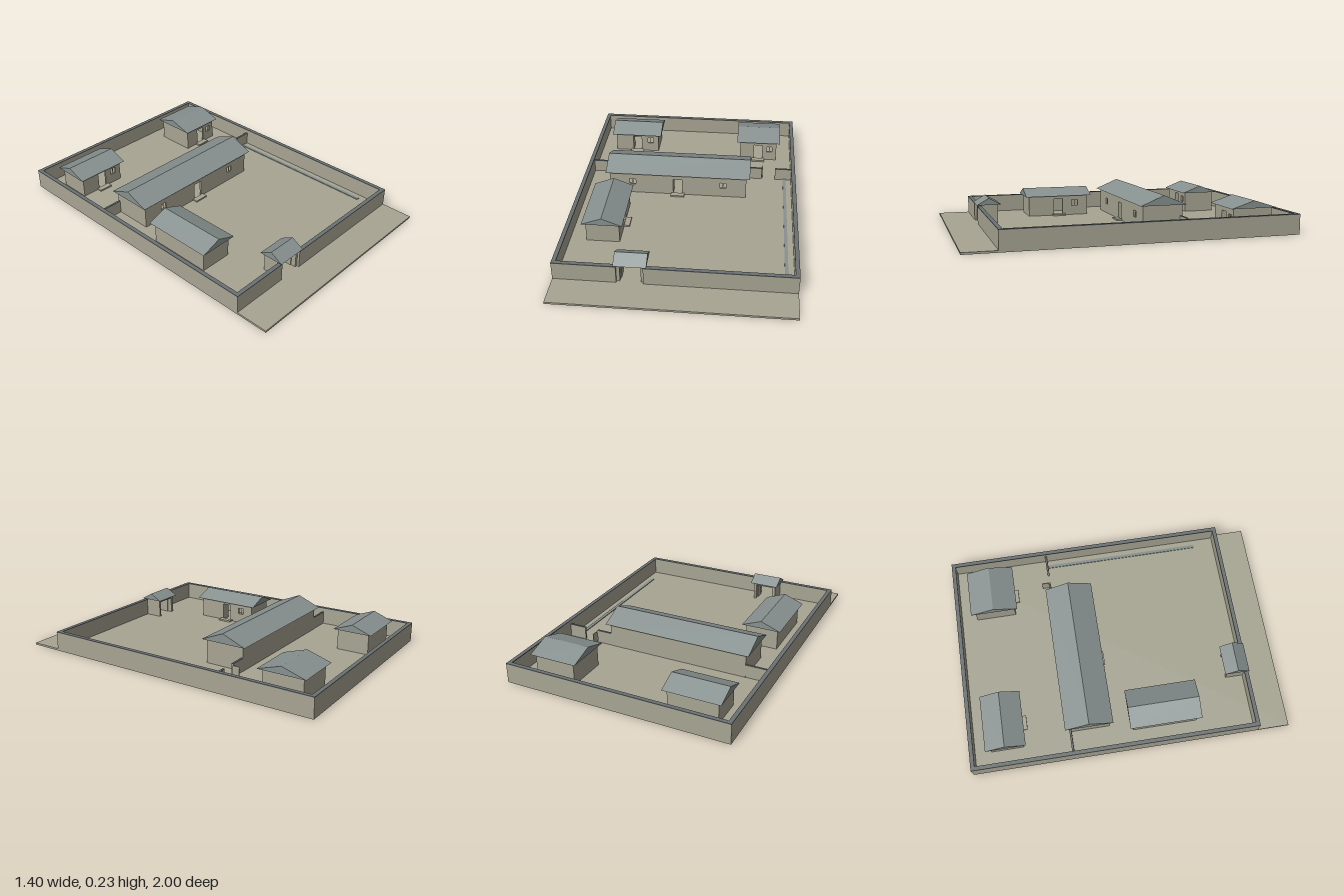
import * as THREE from 'three';

const stone = new THREE.MeshStandardMaterial({ color: 0xa8a593 });
stone.name = 'warm stone';
const tile = new THREE.MeshStandardMaterial({ color: 0x87918f });
tile.name = 'grey roof tile';
const cap = new THREE.MeshStandardMaterial({ color: 0x6b7273 });
cap.name = 'dark wall coping';

const FLOOR = 0.012;

// Box given by its minimum and maximum corners
function block(parent, name, mat, x0, x1, y0, y1, z0, z1) {
  const mesh = new THREE.Mesh(new THREE.BoxGeometry(x1 - x0, y1 - y0, z1 - z0), mat);
  mesh.position.set((x0 + x1) / 2, (y0 + y1) / 2, (z0 + z1) / 2);
  mesh.name = name;
  parent.add(mesh);
  return mesh;
}

// Solid gabled roof with its ridge along x
function gable(parent, w, d, y, rise) {
  const s = new THREE.Shape();
  s.moveTo(-d / 2, 0);
  s.lineTo(d / 2, 0);
  s.lineTo(0, rise);
  s.closePath();
  const geo = new THREE.ExtrudeGeometry(s, { depth: w, bevelEnabled: false });
  geo.translate(0, 0, -w / 2);
  geo.rotateY(Math.PI / 2);
  const mesh = new THREE.Mesh(geo, tile);
  mesh.position.y = y;
  mesh.name = 'roof';
  parent.add(mesh);
}

// House whose door faces local +z; w and d are the roof's size
function house(name, x, z, w, d, eave, rise, windows, turn = 0) {
  const g = new THREE.Group();
  g.name = name;
  const hw = w / 2 - 0.0225, hd = d / 2 - 0.0225, t = 0.012, door = 0.03, doorTop = 0.125;

  // Front wall with a door notch and window holes
  const s = new THREE.Shape();
  [[-hw, FLOOR], [-door, FLOOR], [-door, doorTop], [door, doorTop],
    [door, FLOOR], [hw, FLOOR], [hw, eave], [-hw, eave]]
    .forEach(([px, py], i) => (i ? s.lineTo(px, py) : s.moveTo(px, py)));
  s.closePath();
  for (const wx of windows) {
    const h = new THREE.Path();
    h.moveTo(wx - 0.02, 0.075);
    h.lineTo(wx - 0.02, 0.115);
    h.lineTo(wx + 0.02, 0.115);
    h.lineTo(wx + 0.02, 0.075);
    h.closePath();
    s.holes.push(h);
    block(g, 'windowBar', stone, wx - 0.002, wx + 0.002, 0.075, 0.115, hd - 0.008, hd - 0.004);
  }
  const front = new THREE.Mesh(new THREE.ExtrudeGeometry(s, { depth: t, bevelEnabled: false }), stone);
  front.position.z = hd - t;
  front.name = 'frontWall';
  g.add(front);

  // Remaining walls, open door leaf and step
  block(g, 'backWall', stone, -hw, hw, FLOOR, eave, -hd, -hd + t);
  for (const k of [-1, 1]) {
    const a = k * hw, b = k * (hw - t);
    block(g, 'endWall', stone, Math.min(a, b), Math.max(a, b), FLOOR, eave, -hd + t, hd - t);
  }
  block(g, 'doorLeaf', stone, -door - 0.004, -door, FLOOR, doorTop, hd - t - 0.055, hd - t);
  block(g, 'doorStep', stone, -0.045, 0.045, FLOOR, 0.022, hd, hd + 0.035);

  gable(g, w, d, eave, rise);
  g.position.set(x, 0, z);
  g.rotation.y = turn;
  return g;
}

// Wall run with a thin coping on top; lip widens the coping
function wall(parent, name, x0, x1, z0, z1, top, lipX = 0, lipZ = 0) {
  block(parent, name, stone, x0, x1, FLOOR, top - 0.005, z0, z1);
  block(parent, name + 'Coping', cap, Math.min(x0, x0 + lipX), Math.max(x1, x1 + lipX),
    top - 0.005, top, Math.min(z0, z0 + lipZ), Math.max(z1, z1 + lipZ));
}

export function createModel() {
  const model = new THREE.Group();
  model.name = 'walledCourtyard';

  block(model, 'ground', stone, -0.7, 0.7, 0, FLOOR, -1, 1);

  // Perimeter walls, with a gap for the gatehouse in the front one
  wall(model, 'leftWall', 0.68, 0.7, -1, 0.8, 0.125, -0.005);
  wall(model, 'rightWall', -0.7, -0.68, -1, 0.8, 0.125, 0.005);
  wall(model, 'backWall', -0.68, 0.68, -1, -0.98, 0.125, 0, 0.005);
  wall(model, 'frontWall', -0.68, -0.33, 0.78, 0.8, 0.125, 0, -0.005);
  wall(model, 'frontWall', -0.175, 0.68, 0.78, 0.8, 0.125, 0, -0.005);

  // Inner dividing wall with a small open gate
  wall(model, 'innerWall', -0.68, -0.527, -0.376, -0.364, 0.095);
  wall(model, 'innerWall', 0.377, 0.48, -0.376, -0.364, 0.095);
  wall(model, 'innerWall', 0.57, 0.68, -0.376, -0.364, 0.095);
  block(model, 'innerGateLeaf', stone, 0.482, 0.487, FLOOR, 0.085, -0.42, -0.376);

  // Low strip along the courtyard's side
  block(model, 'drainStrip', tile, 0.625, 0.645, FLOOR, 0.017, -0.364, 0.65);

  // Gatehouse: two side walls, lintel, open leaves and roof
  const gate = new THREE.Group();
  gate.name = 'gatehouse';
  for (const [x0, x1] of [[-0.33, -0.31], [-0.19, -0.175]])
    block(gate, 'gatePillar', stone, x0, x1, FLOOR, 0.135, 0.67, 0.785);
  block(gate, 'gateLintel', stone, -0.31, -0.19, 0.115, 0.135, 0.67, 0.785);
  for (const x of [-0.31, -0.195])
    block(gate, 'gateLeaf', stone, x, x + 0.005, FLOOR, 0.113, 0.7, 0.755);
  const top = new THREE.Group();
  top.position.set(-0.25, 0, 0.728);
  gable(top, 0.19, 0.155, 0.132, 0.044);
  gate.add(top);
  model.add(gate);

  // Houses around the two courts
  model.add(house('mainHall', -0.075, -0.25, 0.95, 0.3, 0.165, 0.062, [-0.3, 0.3]));
  model.add(house('sideHouse', -0.475, 0.225, 0.25 + 0.2, 0.25, 0.145, 0.048, [0.115], Math.PI / 2));
  model.add(house('backRightHouse', -0.425, -0.775, 0.35, 0.25, 0.145, 0.048, [0.095]));
  model.add(house('backLeftHouse', 0.45, -0.75, 0.3, 0.3, 0.155, 0.047, [0.08]));

  return model;
}
